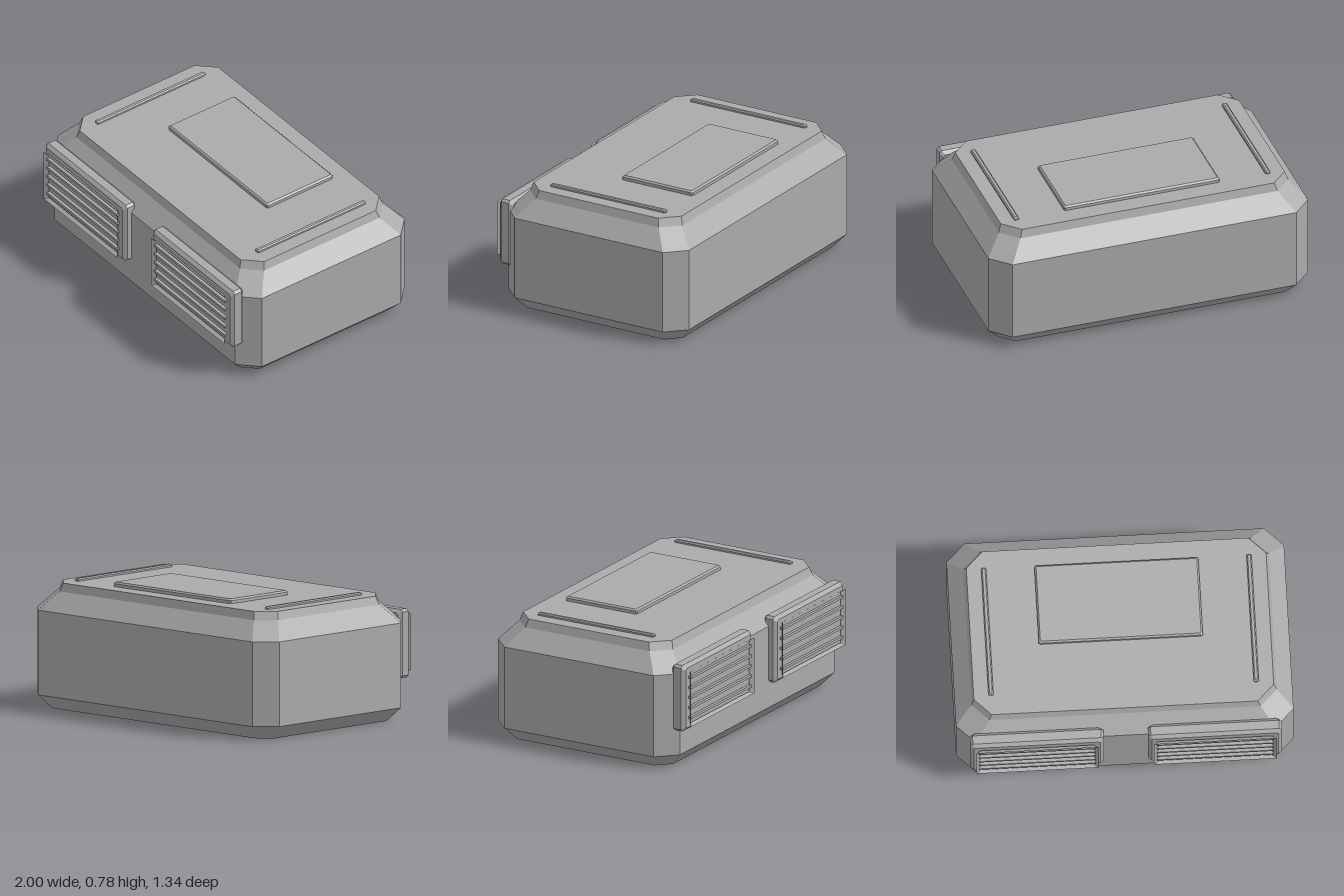
import * as THREE from 'three';

// Flat-faced loft along y through chamfered rectangles: [y, halfX, halfZ, cornerCut]
function loft(rings, capped = true) {
  const loops = rings.map(([y, w, d, c]) => [
    [w, d - c], [w, c - d], [w - c, -d], [c - w, -d],
    [-w, c - d], [-w, d - c], [c - w, d], [w - c, d],
  ].map(([x, z]) => [x, y, z]));
  const pos = [];
  const tri = (...corners) => corners.forEach((p) => pos.push(...p));
  for (let r = 0; r < loops.length - 1; r++) {
    const lo = loops[r], hi = loops[r + 1];
    for (let i = 0; i < 8; i++) {
      const j = (i + 1) % 8;
      tri(lo[i], lo[j], hi[j]);
      tri(lo[i], hi[j], hi[i]);
    }
  }
  if (capped) {
    const bottom = loops[0], top = loops[loops.length - 1];
    for (let i = 1; i < 7; i++) {
      tri(top[0], top[i], top[i + 1]);
      tri(bottom[0], bottom[i + 1], bottom[i]);
    }
  }
  const geo = new THREE.BufferGeometry();
  geo.setAttribute('position', new THREE.Float32BufferAttribute(pos, 3));
  geo.computeVertexNormals();
  return geo;
}

export function createModel() {
  const model = new THREE.Group();
  model.name = 'rooftopUnit';
  const grey = new THREE.MeshStandardMaterial({ color: 0xaaaaaa, side: THREE.DoubleSide });
  grey.name = 'plainGrey';

  const add = (name, geo, parent, x = 0, y = 0, z = 0) => {
    const mesh = new THREE.Mesh(geo, grey);
    mesh.name = name;
    mesh.position.set(x, y, z);
    parent.add(mesh);
    return mesh;
  };

  // Chamfered housing with a sloped shoulder
  add('housing', loft([
    [0, 0.92, 0.553, 0.08],
    [0.083, 1, 0.628, 0.113],
    [0.59, 1, 0.628, 0.113],
    [0.70, 0.905, 0.529, 0.101],
    [0.75, 0.888, 0.514, 0.1],
  ]), model, 0, 0, -0.04);

  // Raised lid panel on the roof
  add('lidPanel', loft([
    [0.745, 0.486, 0.245, 0.008],
    [0.768, 0.486, 0.245, 0.008],
    [0.778, 0.476, 0.235, 0.006],
  ]), model, 0, 0, -0.197);

  for (const side of [-1, 1]) {
    // Slim roof rail
    add('roofRail', loft([
      [0.745, 0.015, 0.4, 0.005],
      [0.76, 0.015, 0.4, 0.005],
      [0.767, 0.008, 0.393, 0.003],
    ]), model, side * 0.786, 0, -0.047);

    // Front grille: bevelled frame, flared lip and slats
    const grille = new THREE.Group();
    grille.name = side > 0 ? 'leftGrille' : 'rightGrille';
    grille.position.set(side * 0.527, 0.446, 0);
    model.add(grille);

    add('grilleFrame', loft([
      [0.545, 0.375, 0.186, 0.012],
      [0.566, 0.395, 0.206, 0.015],
      [0.618, 0.395, 0.206, 0.015],
      [0.638, 0.375, 0.186, 0.012],
    ]), grille).rotation.x = Math.PI / 2;

    add('grilleLip', loft([
      [0.645, 0.338, 0.16, 0.004],
      [0.667, 0.363, 0.174, 0.004],
    ], false), grille).rotation.x = Math.PI / 2;

    for (let i = -2; i <= 2; i++) {
      add('grilleSlat', new THREE.BoxGeometry(0.69, 0.016, 0.037), grille, 0, i * 0.063, 0.6385);
    }
  }
  return model;
}
